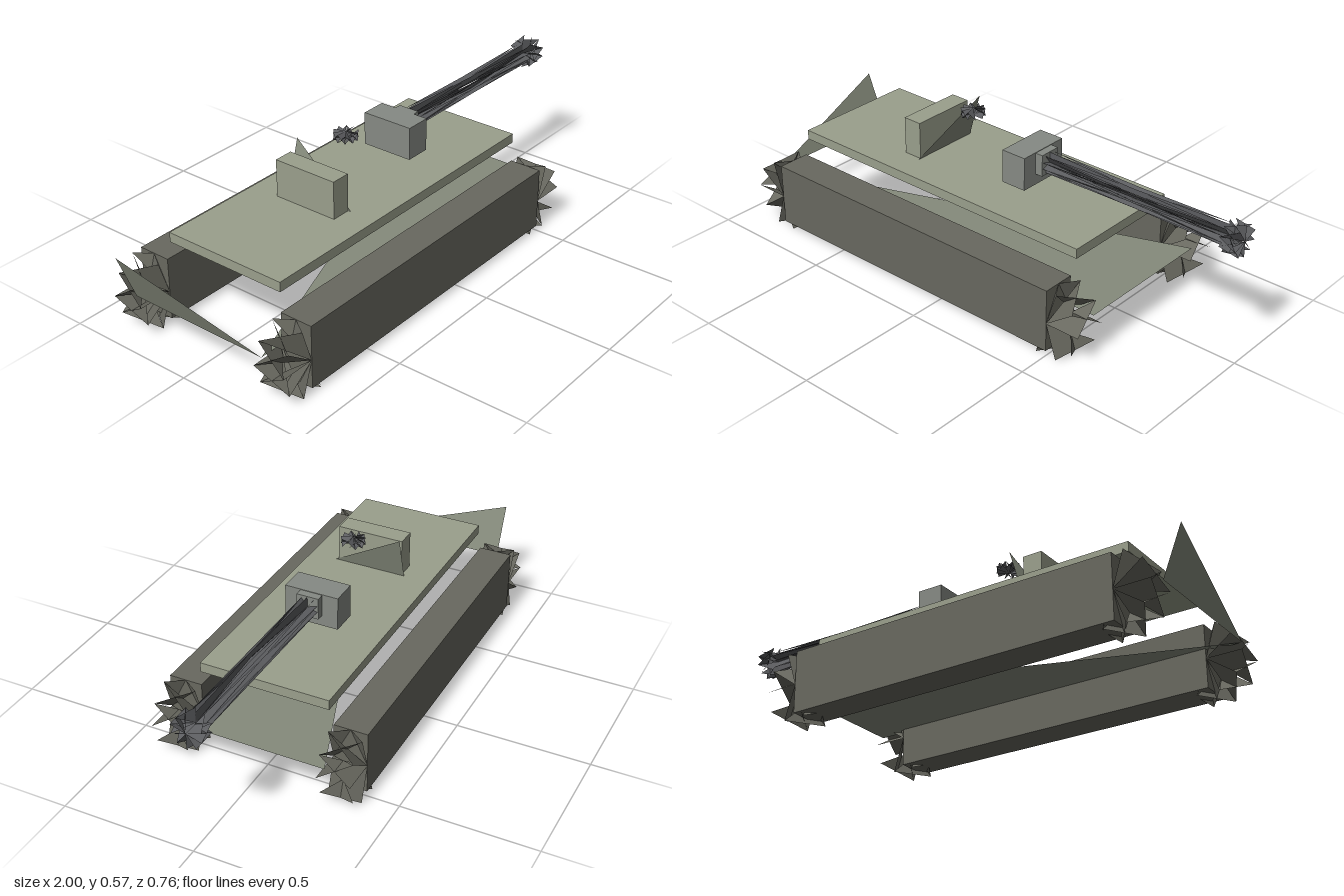
import * as THREE from 'three';

const material = (color) =>
  new THREE.MeshStandardMaterial({ color, flatShading: true, side: THREE.DoubleSide });

const olive = material(0x9a9f8c);
const hullGrey = material(0x868b7c);
const trackGrey = material(0x68685f);
const gunGrey = material(0x868a84);
const darkGrey = material(0x5c5d60);

function add(parent, name, geometry, mat) {
  const mesh = new THREE.Mesh(geometry, mat);
  mesh.name = name;
  parent.add(mesh);
  return mesh;
}

// Box given by its lowest and highest corner
function box(parent, name, min, max, mat) {
  const size = max.map((v, i) => v - min[i]);
  const mesh = add(parent, name, new THREE.BoxGeometry(...size), mat);
  mesh.position.set(...max.map((v, i) => (v + min[i]) / 2));
  return mesh;
}

function facets(points) {
  const geometry = new THREE.BufferGeometry();
  geometry.setAttribute('position', new THREE.Float32BufferAttribute(points.flat(), 3));
  geometry.computeVertexNormals();
  return geometry;
}

// Ten-sided drum along z, made of crossed slanting blades, with one wedge left open
function bladedDrum(radius, length, start = 0) {
  const sides = 10;
  const h = length / 2;
  const rim = (i, z) => {
    const a = start + (i / sides) * Math.PI * 2;
    return [radius * Math.cos(a), radius * Math.sin(a), z];
  };
  const points = [];
  for (let i = 0; i < sides - 1; i++) {
    points.push([0, 0, h], rim(i, h), rim(i + 1, -h));
    points.push([0, 0, -h], rim(i + 1, h), rim(i, -h));
  }
  return facets(points);
}

export function createModel() {
  const model = new THREE.Group();
  model.name = 'trackedVehicle';

  // Tracks with a bladed wheel at each end
  for (const side of [-1, 1]) {
    const track = new THREE.Group();
    track.name = side > 0 ? 'frontTrack' : 'backTrack';
    track.position.z = side * 0.317;
    model.add(track);
    box(track, 'trackBody', [-0.8, 0.02, -0.063], [0.5, 0.258, 0.063], trackGrey);
    for (const x of [-0.8, 0.5]) {
      const wheel = add(track, 'trackWheel', bladedDrum(0.135, 0.126), trackGrey);
      wheel.position.set(x, 0.129, 0);
    }
  }

  // Hull: deck slab, three-cornered floor and leaning tail plate
  box(model, 'deck', [-0.79, 0.325, -0.245], [0.515, 0.362, 0.245], olive);
  add(model, 'hullFloor', facets([
    [0.62, 0.165, 0.28], [0.62, 0.165, -0.28], [-0.925, 0.165, 0.28],
  ]), hullGrey);
  add(model, 'tailPlate', facets([
    [-0.925, 0.165, 0.28], [-0.925, 0.165, -0.28], [-1, 0.35, -0.28],
  ]), hullGrey);

  // Turret remains: rear box, leaning plate and hatch
  box(model, 'turretBox', [-0.385, 0.362, -0.128], [-0.31, 0.505, 0.128], olive);
  add(model, 'turretPlate', facets([
    [-0.31, 0.362, 0.14], [-0.31, 0.362, -0.14], [-0.26, 0.535, -0.14],
  ]), hullGrey);
  const hatch = add(model, 'hatch', bladedDrum(0.045, 0.03), darkGrey);
  hatch.rotation.x = -Math.PI / 2;
  hatch.position.set(-0.165, 0.553, 0);

  // Gun: mount, collar, barrel and muzzle
  box(model, 'gunMount', [0.065, 0.392, -0.102], [0.165, 0.518, 0.102], gunGrey);
  box(model, 'gunCollar', [0.165, 0.434, -0.042], [0.195, 0.516, 0.042], gunGrey);
  for (const [name, radius, from, to] of [
    ['barrel', 0.04, 0.19, 0.94],
    ['muzzle', 0.059, 0.936, 1],
  ]) {
    const part = add(model, name, bladedDrum(radius, to - from, Math.PI / 2), darkGrey);
    part.rotation.y = Math.PI / 2;
    part.position.set((from + to) / 2, 0.474, 0);
  }

  return model;
}
